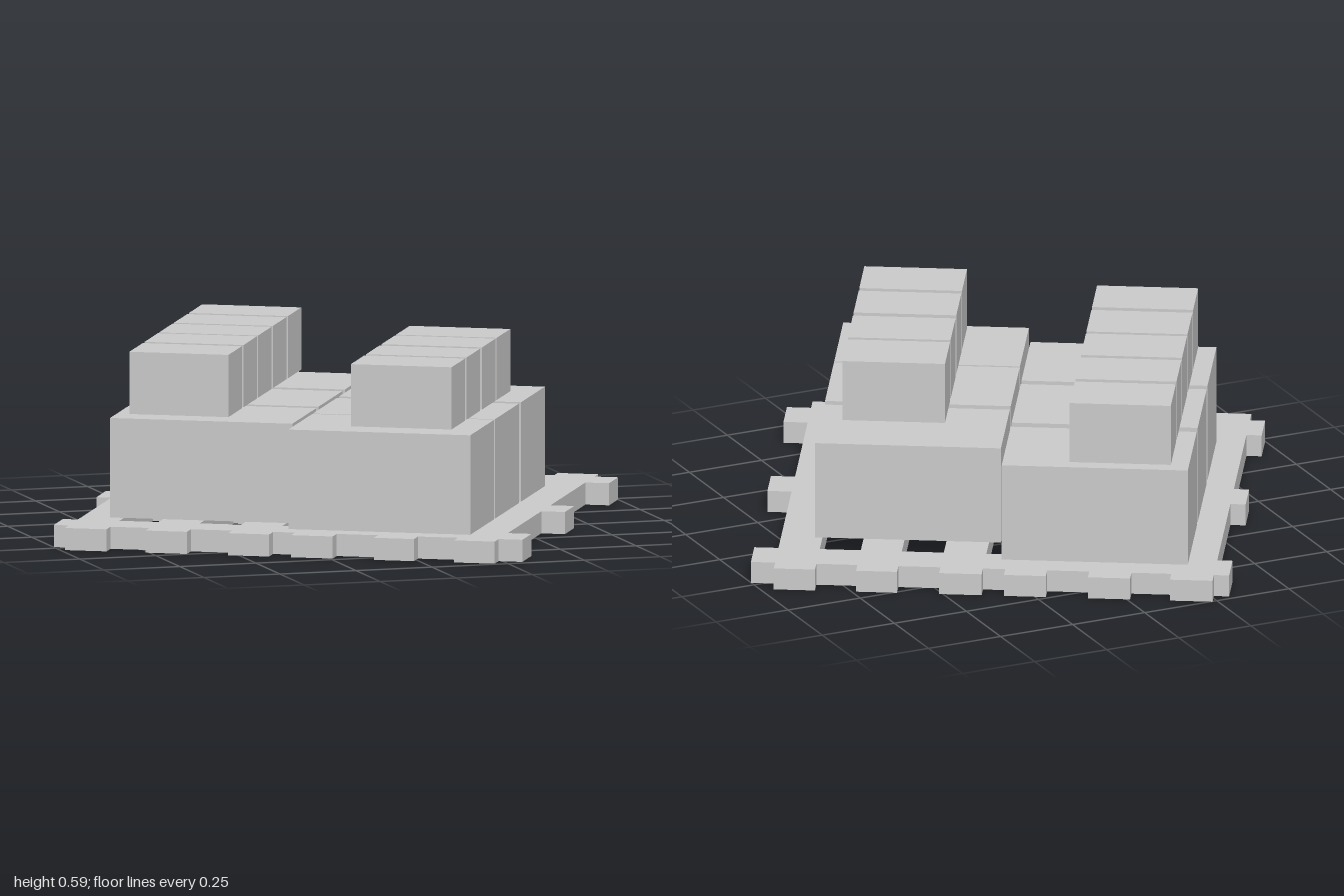
import * as THREE from 'three';

const mat = new THREE.MeshStandardMaterial({ color: 0xcccccc, flatShading: true });

// Plank spans across (x) and along (z) in the pallet's own frame
const LONG = [[-0.704, -0.57], [-0.445, -0.312], [-0.18, -0.048], [0.022, 0.156], [0.288, 0.417], [0.546, 0.676]];
const CROSS = [[-0.70, -0.567], [-0.06, 0.075], [0.562, 0.695]];
const END = 0.752; // plank ends reach this far from the centre
const PALLET_H = 0.07;

// Flat lattice of crossing planks: outline with protruding ends, plus the gaps
function createPallet() {
  const left = LONG[0][0], right = LONG[5][1], back = CROSS[0][0], front = CROSS[2][1];
  const pts = [];
  const add = (x, z) => {
    const p = new THREE.Vector2(x, z), last = pts[pts.length - 1];
    if (!last || last.distanceTo(p) > 1e-4) pts.push(p);
  };
  for (const [a, b] of LONG) { add(a, back); add(a, -END); add(b, -END); add(b, back); }
  for (const [a, b] of CROSS) { add(right, a); add(END, a); add(END, b); add(right, b); }
  for (const [a, b] of [...LONG].reverse()) { add(b, front); add(b, END); add(a, END); add(a, front); }
  for (const [a, b] of [...CROSS].reverse()) { add(left, b); add(-END, b); add(-END, a); add(left, a); }
  pts.pop(); // same as the first point
  const shape = new THREE.Shape(pts);

  for (let i = 0; i < LONG.length - 1; i++) {
    for (let j = 0; j < CROSS.length - 1; j++) {
      const x0 = LONG[i][1], x1 = LONG[i + 1][0], z0 = CROSS[j][1], z1 = CROSS[j + 1][0];
      shape.holes.push(new THREE.Path([
        new THREE.Vector2(x0, z0), new THREE.Vector2(x0, z1),
        new THREE.Vector2(x1, z1), new THREE.Vector2(x1, z0),
      ]));
    }
  }
  const geo = new THREE.ExtrudeGeometry(shape, { depth: PALLET_H, bevelEnabled: false });
  geo.rotateX(Math.PI / 2).translate(0, PALLET_H, 0);
  const mesh = new THREE.Mesh(geo, mat);
  mesh.name = 'pallet';
  return mesh;
}

// Row of equal boxes set one behind another along z
function boxRow(name, x0, x1, y0, y1, depth, starts) {
  const row = new THREE.Group();
  row.name = name;
  const geo = new THREE.BoxGeometry(x1 - x0, y1 - y0, depth);
  starts.forEach((z, i) => {
    const box = new THREE.Mesh(geo, mat);
    box.name = `${name}Box${i + 1}`;
    box.position.set((x0 + x1) / 2, (y0 + y1) / 2, z + depth / 2);
    row.add(box);
  });
  return row;
}

export function createModel() {
  const model = new THREE.Group();
  model.name = 'loadedPallet';
  const load = new THREE.Group();
  load.name = 'palletAndBoxes';
  load.rotation.y = -Math.PI / 6; // the whole load stands at an angle
  load.add(
    createPallet(),
    // large boxes
    boxRow('rightLarge', -0.615, -0.03, 0.07, 0.385, 0.348, [-0.614, -0.23, 0.149]),
    boxRow('leftLarge', -0.015, 0.569, 0.07, 0.385, 0.348, [-0.463, -0.083, 0.275]),
    // small boxes on top
    boxRow('rightSmall', -0.56, -0.242, 0.395, 0.592, 0.195, [-0.594, -0.376, -0.161, 0.051, 0.271]),
    boxRow('leftSmall', 0.176, 0.499, 0.395, 0.592, 0.197, [-0.276, -0.062, 0.162, 0.382])
  );
  model.add(load);
  return model;
}
